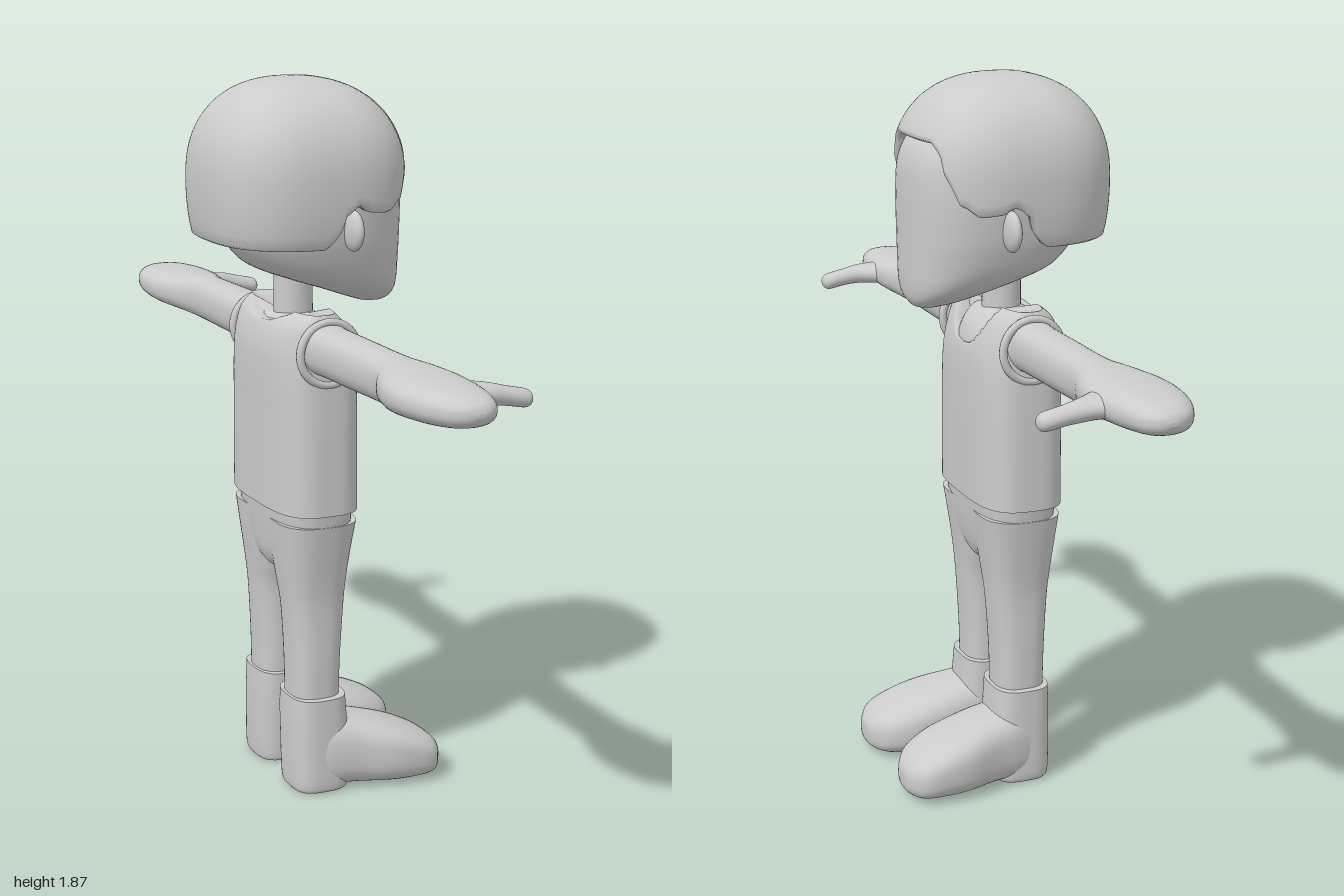
import * as THREE from 'three';

const material = new THREE.MeshStandardMaterial({ color: 0xcccccc, side: THREE.DoubleSide });
const CX = -0.045; // body axis

// Turns (first side, second side, along) into x, y, z for each loft direction
const AXES = {
  x: (p, q, t) => [t, p, q],
  y: (p, q, t) => [q, t, p],
  z: (p, q, t) => [p, q, t],
};

function catmull(a, b, c, d, t) {
  return 0.5 * (2 * b + (c - a) * t + (2 * a - 5 * b + 4 * c - d) * t * t + (3 * b - a - 3 * c + d) * t * t * t);
}

function buildGeometry(positions, indices, flip) {
  if (flip) {
    for (let i = 0; i < indices.length; i += 3) [indices[i], indices[i + 1]] = [indices[i + 1], indices[i]];
  }
  const geometry = new THREE.BufferGeometry();
  geometry.setAttribute('position', new THREE.Float32BufferAttribute(positions, 3));
  geometry.setIndex(indices);
  geometry.computeVertexNormals();
  return geometry;
}

// Joins a grid of closed rings, counter-clockwise seen from the far end
function ringIndices(rings, segments) {
  const indices = [];
  for (let i = 0; i < rings - 1; i++) {
    for (let j = 0; j < segments; j++) {
      const k = (j + 1) % segments;
      const a = i * segments + j, b = i * segments + k;
      indices.push(a, b, a + segments, b, b + segments, a + segments);
    }
  }
  return indices;
}

// Smooth loft through rows of [along, pMin, pMax, qMin, qMax] with superelliptic sections
function loft(name, axis, rows, { n = 2.4, side = 1, segments = 40, steps = 4, warp } = {}) {
  const rings = [];
  for (let i = 0; i < rows.length - 1; i++) {
    for (let s = 0; s < steps; s++) {
      rings.push(rows[i].map((v, k) => catmull(
        (rows[i - 1] ?? rows[i])[k], v, rows[i + 1][k], (rows[i + 2] ?? rows[i + 1])[k], s / steps)));
    }
  }
  rings.push(rows[rows.length - 1]);
  const positions = [];
  const add = (p, q, t) => {
    const v = AXES[axis](p, q, t);
    if (warp) warp(v);
    positions.push(v[0], v[1], v[2] * side);
  };
  const addRing = ([t, p0, p1, q0, q1]) => {
    for (let j = 0; j < segments; j++) {
      const a = (j / segments) * Math.PI * 2, c = Math.cos(a), s = Math.sin(a);
      add((p0 + p1) / 2 + (p1 - p0) / 2 * Math.sign(c) * Math.abs(c) ** (2 / n),
        (q0 + q1) / 2 + (q1 - q0) / 2 * Math.sign(s) * Math.abs(s) ** (2 / n), t);
    }
  };
  rings.forEach(addRing);
  const indices = ringIndices(rings.length, segments);
  // End caps with their own vertices, for crisp edges
  [rings[0], rings[rings.length - 1]].forEach((ring, end) => {
    const start = positions.length / 3;
    addRing(ring);
    add((ring[1] + ring[2]) / 2, (ring[3] + ring[4]) / 2, ring[0]);
    for (let j = 0; j < segments; j++) {
      const a = start + j, b = start + (j + 1) % segments;
      indices.push(...(end ? [a, b, start + segments] : [b, a, start + segments]));
    }
  });
  return named(name, buildGeometry(positions, indices, side < 0));
}

function named(name, geometry) {
  const mesh = new THREE.Mesh(geometry, material);
  mesh.name = name;
  return mesh;
}

// Rows symmetric in z for upright lofts: [y, halfWidth, xBack, xFront]
const upright = rows => rows.map(([y, w, x0, x1]) => [y, -w, w, x0, x1]);

// Height of the hair's lower edge by position from back to front
const HAIRLINE = [[-0.4, 1.47], [-0.07, 1.468], [-0.04, 1.49], [-0.015, 1.55], [0.02, 1.572], [0.06, 1.555],
  [0.11, 1.55], [0.15, 1.575], [0.175, 1.63], [0.195, 1.70], [0.21, 1.72], [0.4, 1.72]];
function hairEdge(x) {
  const i = HAIRLINE.findIndex(p => p[0] > x);
  const [a, b] = [HAIRLINE[i - 1], HAIRLINE[i]];
  return THREE.MathUtils.lerp(a[1], b[1], THREE.MathUtils.smoothstep(x, a[0], b[0]));
}

// Domed cap of hair cut along the hairline, with its rim rolled inward
function makeHair() {
  const segments = 128, rows = 24, positions = [], middle = 1.61;
  const shell = y => {
    const h = Math.min(1, Math.abs(y - middle) / (y > middle ? 0.26 : 0.36));
    return (1 - h ** 2.3) ** (1 / 2.3);
  };
  const rim = [[0.78, 0.015], [0.89, -0.004], [0.96, -0.006]];
  for (let i = 0; i < rows + rim.length; i++) {
    for (let j = 0; j < segments; j++) {
      const a = (j / segments) * Math.PI * 2, c = Math.cos(a), s = Math.sin(a);
      const n = 2.7;
      const r = (Math.abs(c / (c > 0 ? 0.268 : 0.256)) ** n + Math.abs(s / 0.27) ** n) ** (-1 / n);
      const edge = hairEdge(CX + r * c);
      let y, scale;
      if (i < rim.length) {
        y = edge + rim[i][1];
        scale = shell(edge) * rim[i][0];
      } else {
        const t = (i - rim.length) / (rows - 1);
        y = edge + (1.87 - edge) * Math.sin(t * Math.PI / 2);
        scale = shell(y);
      }
      positions.push(CX + r * c * scale, y, r * s * scale);
    }
  }
  return named('hair', buildGeometry(positions, ringIndices(rows + rim.length, segments), true));
}

export function createModel() {
  const model = new THREE.Group();
  model.name = 'figure';

  // Head and neck
  model.add(loft('head', 'y', upright([
    [1.288, 0.05, 0.13, 0.20], [1.305, 0.095, 0.08, 0.212], [1.33, 0.135, 0.01, 0.218], [1.36, 0.165, -0.08, 0.22],
    [1.39, 0.185, -0.155, 0.22], [1.43, 0.2, -0.198, 0.22], [1.48, 0.212, -0.225, 0.22], [1.58, 0.222, -0.25, 0.22],
    [1.66, 0.215, -0.24, 0.212], [1.72, 0.19, -0.22, 0.18], [1.78, 0.13, -0.15, 0.1],
  ]), { n: 2.6, segments: 56 }));
  model.add(makeHair());
  const neck = named('neck', new THREE.CylinderGeometry(0.05, 0.052, 0.2, 32));
  neck.position.set(CX, 1.28, 0);
  model.add(neck);

  // Sleeveless shirt with a scooped neckline, over a slightly smaller chest
  const torso = [[0.772, 0.23, -0.16, 0.075], [0.9, 0.229, -0.16, 0.075], [1.02, 0.227, -0.16, 0.075],
    [1.13, 0.223, -0.16, 0.072], [1.2, 0.218, -0.155, 0.06], [1.26, 0.213, -0.135, 0.035], [1.29, 0.2, -0.1, 0.005]];
  const neckline = v => {
    const u = Math.abs(v[2]) / 0.115;
    if (u < 1) v[1] = Math.min(v[1], v[0] > CX ? 1.18 + 0.1 * u ** 3 : 1.255 + 0.03 * u * u);
  };
  model.add(loft('shirt', 'y', upright(torso), { n: 3.2, segments: 96, steps: 6, warp: neckline }));
  model.add(loft('chest', 'y', upright([[1.1, 0.12, -0.14, 0.066], [1.18, 0.115, -0.14, 0.06],
    [1.23, 0.11, -0.13, 0.042], [1.26, 0.1, -0.11, 0.015], [1.27, 0.06, -0.09, 0]]), { n: 2.8 }));

  // Hips joining the two legs
  model.add(loft('hips', 'y', upright([[0.585, 0.025, -0.1, 0.015], [0.6, 0.06, -0.12, 0.035],
    [0.64, 0.16, -0.135, 0.05], [0.7, 0.21, -0.143, 0.06], [0.776, 0.225, -0.15, 0.066]]), { n: 2.8 }));

  for (const side of [1, -1]) {
    const label = side > 0 ? 'right' : 'left';
    const part = (name, axis, rows, n = 2.4) => model.add(loft(label + name, axis, rows, { n, side }));

    const ear = named(label + 'Ear', new THREE.SphereGeometry(1, 24, 16));
    ear.scale.set(0.02, 0.052, 0.05);
    ear.position.set(0.018, 1.503, side * 0.225);
    model.add(ear);

    // Arm, mitten hand and thumb
    part('Arm', 'z', [
      [0.16, -0.115, 0.025, 1.135, 1.275], [0.24, -0.107, 0.017, 1.14, 1.268], [0.4, -0.105, 0.015, 1.142, 1.266],
      [0.58, -0.105, 0.015, 1.145, 1.264], [0.66, -0.132, 0.035, 1.152, 1.264], [0.74, -0.156, 0.05, 1.157, 1.262],
      [0.82, -0.158, 0.047, 1.162, 1.26], [0.9, -0.142, 0.035, 1.167, 1.255], [0.96, -0.115, 0.016, 1.175, 1.245],
      [0.99, -0.085, -0.01, 1.188, 1.232], [1.0, -0.055, -0.035, 1.205, 1.215]]);
    part('Thumb', 'x', [[0, 1.175, 1.24, 0.69, 0.85], [0.05, 1.178, 1.235, 0.735, 0.838], [0.09, 1.177, 1.23, 0.765, 0.833],
      [0.13, 1.173, 1.22, 0.773, 0.83], [0.175, 1.165, 1.21, 0.774, 0.829], [0.19, 1.172, 1.202, 0.785, 0.82],
      [0.194, 1.182, 1.192, 0.798, 0.807]], 2);

    // Raised armhole edge
    const armhole = named(label + 'Armhole', new THREE.TorusGeometry(0.08, 0.011, 10, 40));
    armhole.position.set(-0.043, 1.195, side * 0.217);
    model.add(armhole);

    // Trouser leg
    part('Leg', 'y', [[0.24, 0.04, 0.185, -0.11, 0.022], [0.36, 0.038, 0.187, -0.112, 0.025],
      [0.5, 0.034, 0.187, -0.12, 0.035], [0.57, 0.018, 0.193, -0.128, 0.042], [0.65, 0, 0.206, -0.138, 0.052],
      [0.74, 0, 0.222, -0.147, 0.064]], 2.7);

    // Boot: ankle cuff and rounded foot
    part('Cuff', 'y', [[0, 0.045, 0.195, -0.108, 0.03], [0.015, 0.033, 0.21, -0.117, 0.04],
      [0.1, 0.028, 0.21, -0.12, 0.045], [0.2, 0.024, 0.208, -0.12, 0.038], [0.262, 0.022, 0.206, -0.118, 0.033]], 3);
    part('Foot', 'x', [[-0.1, 0.01, 0.15, 0.05, 0.19], [-0.03, 0.003, 0.2, 0.03, 0.215], [0.05, 0.003, 0.192, 0.024, 0.232],
      [0.13, 0, 0.172, 0.025, 0.255], [0.2, 0, 0.148, 0.033, 0.26], [0.26, 0.005, 0.118, 0.06, 0.25],
      [0.29, 0.018, 0.09, 0.105, 0.21], [0.298, 0.035, 0.07, 0.135, 0.185]], 2.8);
  }
  return model;
}
